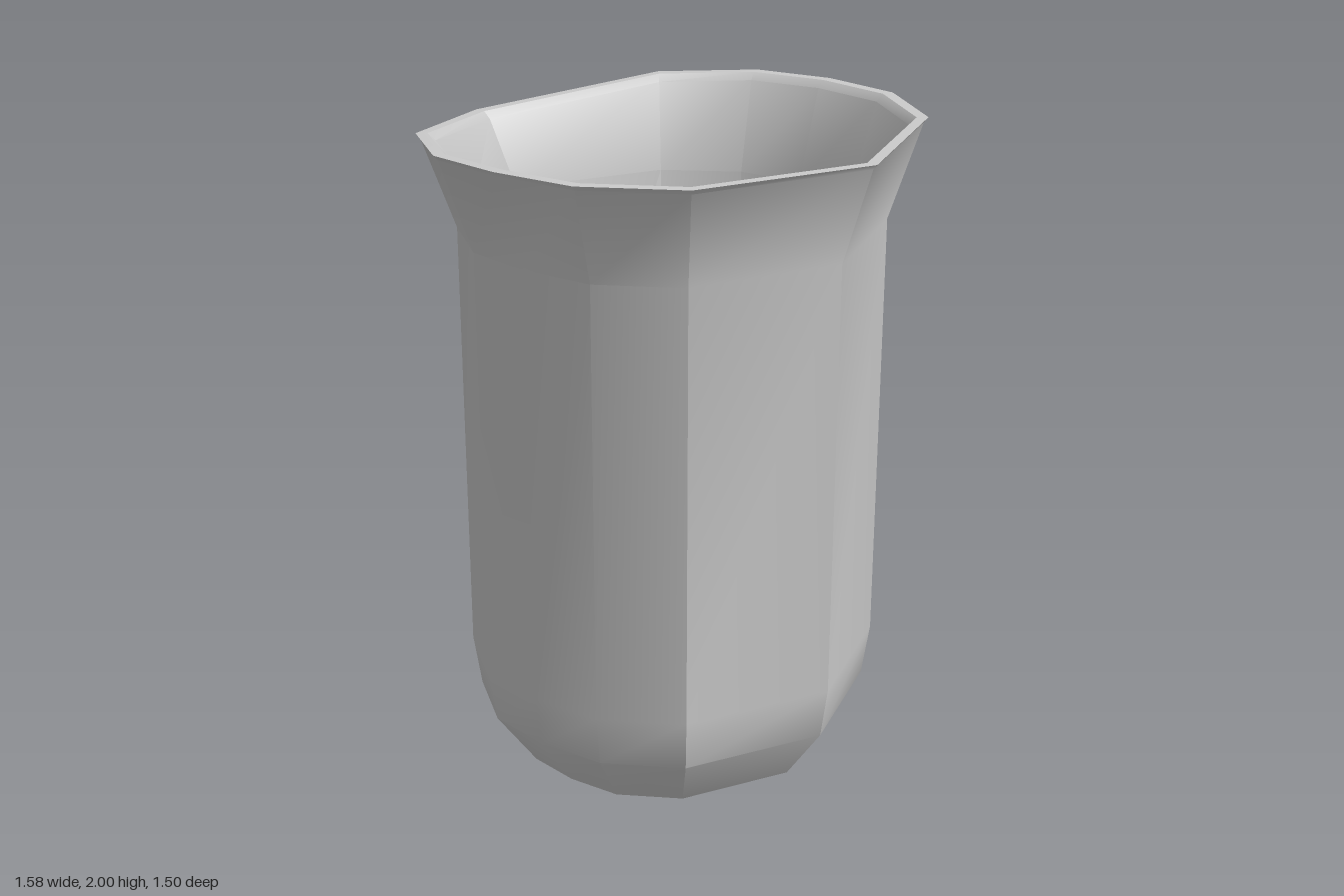
import * as THREE from 'three';
import { toCreasedNormals } from 'three/addons/utils/BufferGeometryUtils.js';

const CENTRE_X = 0.04;

// Half of the twelve-sided cross-section: [x factor, z factor, spout dip]
const HALF = [
  [1, 0, 0], [0.715, 0.715, 0], [0.36, 0.957, 0], [0, 1, 0.002],
  [-0.36, 0.957, 0.01], [-0.715, 0.715, 0.025], [-1, 0, 0.1],
];
const SECTION = [...HALF, ...HALF.slice(1, -1).reverse().map(([x, z, d]) => [x, -z, d])];

// Rings from under the base, up the outside, over the rim and down inside:
// [height, radius, reach on the spout side, share of the spout dip]
const RINGS = [
  [0, 0, 0, 0],
  [0, 0.475, 0.475, 0],
  [0.175, 0.602, 0.62, 0],
  [0.335, 0.627, 0.66, 0],
  [1.69, 0.638, 0.695, 0.15],
  [1.985, 0.737, 0.815, 1],
  [2, 0.75, 0.83, 1],
  [2, 0.715, 0.795, 1],
  [1.978, 0.692, 0.77, 1],
  [1.69, 0.605, 0.66, 0.15],
  [0.345, 0.595, 0.625, 0],
  [0.19, 0.57, 0.585, 0],
  [0.035, 0.452, 0.452, 0],
  [0.035, 0, 0, 0],
];

function beakerGeometry() {
  const n = SECTION.length, last = RINGS.length - 1;
  const positions = [], index = [];
  for (const [y, r, spout, dip] of RINGS) {
    for (const [fx, fz, d] of SECTION) {
      // only the tip of the spout reaches past the regular radius
      positions.push(CENTRE_X + fx * (fx === -1 ? spout : r), y - d * dip, fz * r);
    }
  }
  for (let i = 0; i < last; i++) {
    for (let j = 0; j < n; j++) {
      const a = i * n + j, b = i * n + (j + 1) % n;
      const c = a + n, d = b + n;
      if (i > 0) index.push(a, c, b);
      if (i < last - 1) index.push(b, c, d);
    }
  }
  const geometry = new THREE.BufferGeometry();
  geometry.setAttribute('position', new THREE.Float32BufferAttribute(positions, 3));
  geometry.setIndex(index);
  return toCreasedNormals(geometry, THREE.MathUtils.degToRad(30));
}

export function createModel() {
  const group = new THREE.Group();
  group.name = 'beaker';
  // Walls, base, flared rim and pouring spout as one closed shell
  const material = new THREE.MeshStandardMaterial({ color: 0xcccccc });
  const body = new THREE.Mesh(beakerGeometry(), material);
  body.name = 'beakerBody';
  group.add(body);
  return group;
}
